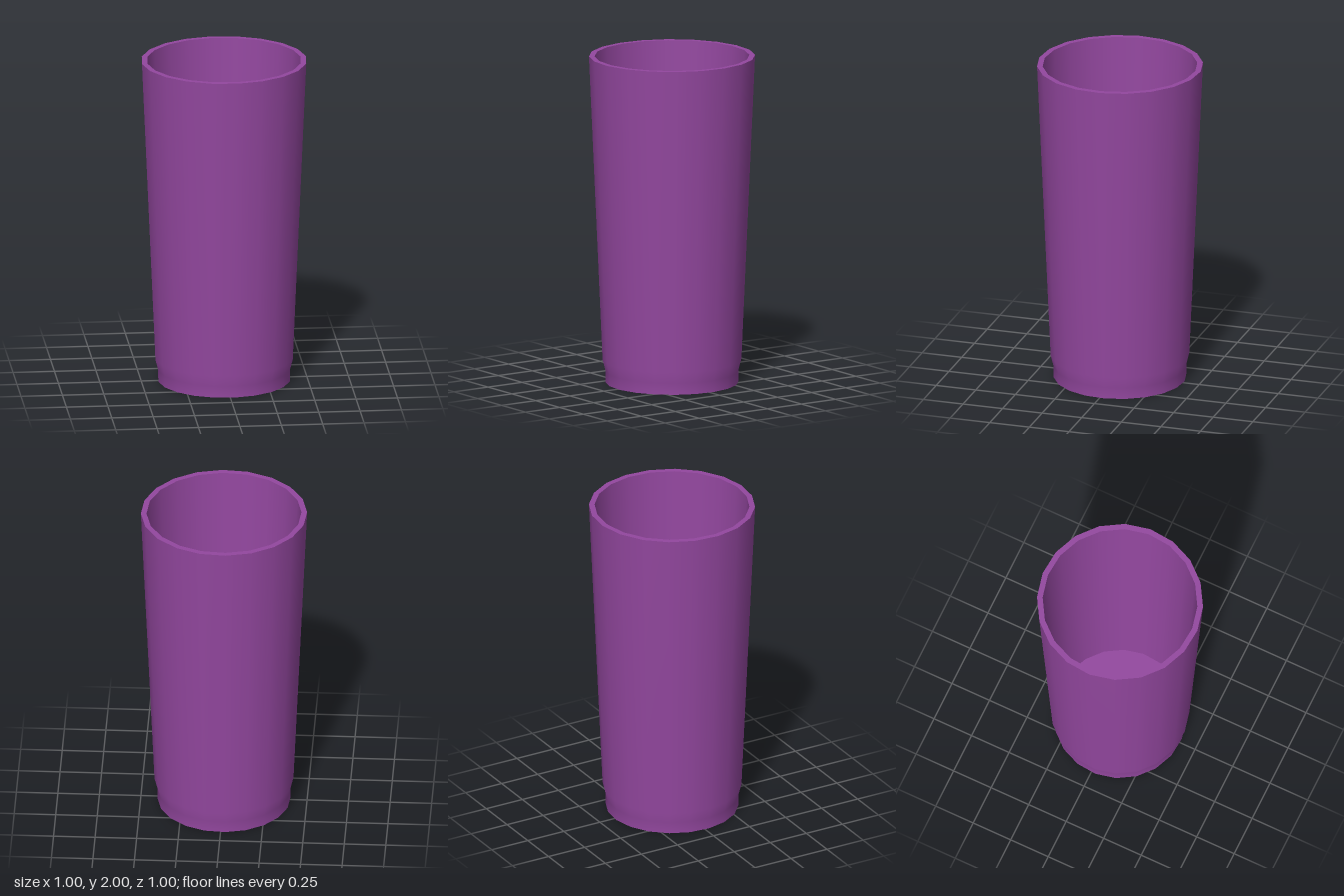
import * as THREE from 'three';

const SIDES = 20;
const TURN = THREE.MathUtils.degToRad(4); // small twist of the facets about the axis

export function createModel() {
  const cup = new THREE.Group();
  cup.name = 'cup';
  const material = new THREE.MeshStandardMaterial({ color: 0x93479f });

  // Each part is a lathed [radius, height] profile; separate parts keep the edges between them sharp
  const addRing = (name, profile) => {
    const points = profile.map(([r, y]) => new THREE.Vector2(r, y));
    const mesh = new THREE.Mesh(new THREE.LatheGeometry(points, SIDES, TURN), material);
    mesh.name = name;
    cup.add(mesh);
  };

  // Profiles run from the underside, up the outside, over the rim and down the inside
  addRing('base', [[0, 0], [0.4, 0]]);
  addRing('outerWall', [[0.4, 0], [0.4, 0.07], [0.418, 0.14], [0.5, 2]]);
  addRing('rim', [[0.5, 2], [0.466, 2]]);
  addRing('innerWall', [[0.466, 2], [0.386, 0.1]]);
  addRing('floor', [[0.386, 0.1], [0, 0.1]]);

  return cup;
}
